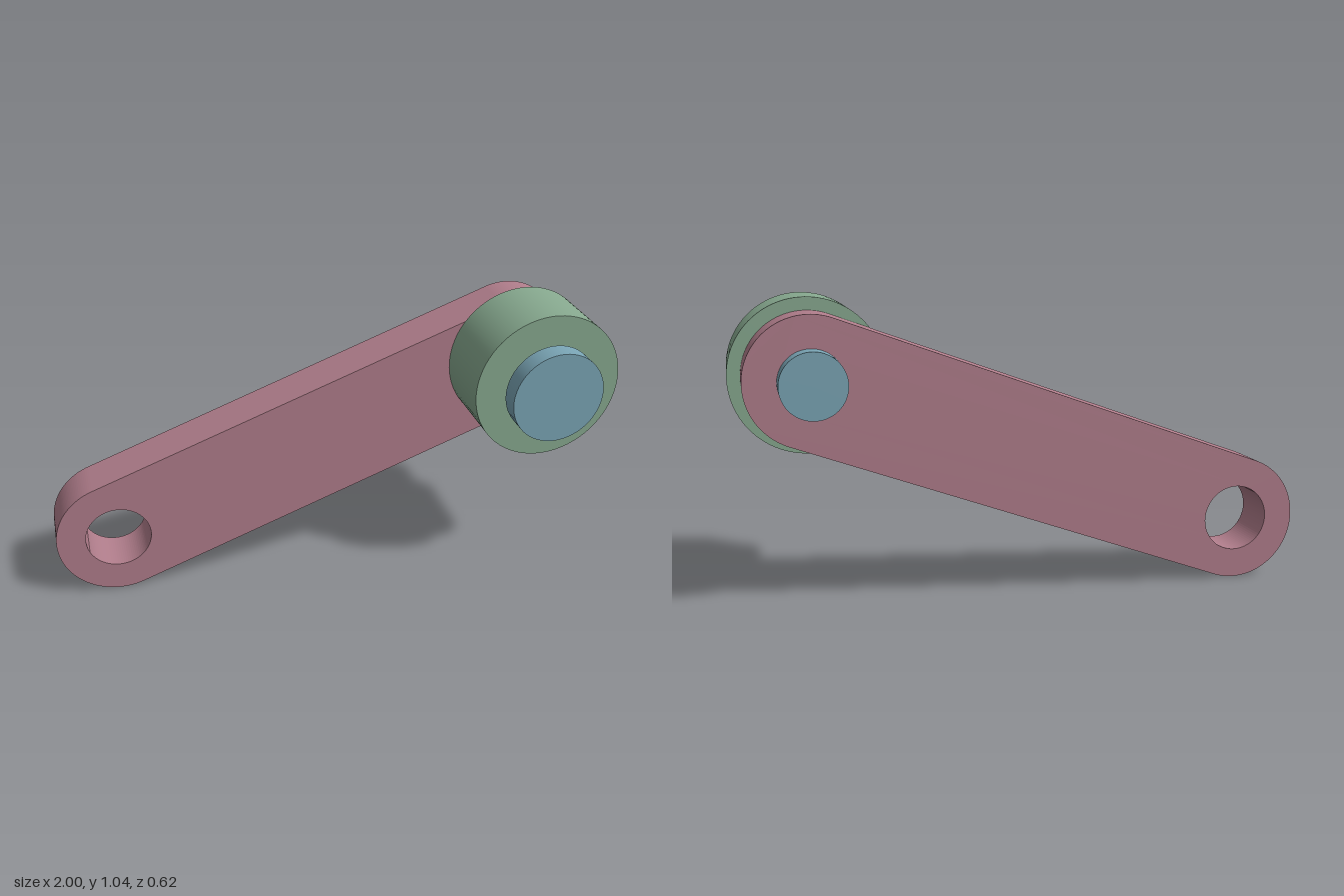
import * as THREE from 'three';

const TILT = THREE.MathUtils.degToRad(20);
const LENGTH = 1.608;   // distance between the two arm centres
const ARM_R = 0.222;
const PIN_R = 0.111;

const colored = (color) => new THREE.MeshStandardMaterial({ color });

// Extrudes a flat outline between two depths along z
function plate(name, shape, z0, z1, material) {
  const geometry = new THREE.ExtrudeGeometry(shape, { depth: z1 - z0, bevelEnabled: false, curveSegments: 48 });
  geometry.translate(0, 0, z0);
  const mesh = new THREE.Mesh(geometry, material);
  mesh.name = name;
  return mesh;
}

// Solid of revolution around the z axis from a closed [radius, z] profile
function turned(name, profile, material) {
  const group = new THREE.Group();
  group.name = name;
  // each profile segment is its own lathe, so edges stay crisp
  for (let i = 0; i < profile.length - 1; i++) {
    const points = [profile[i], profile[i + 1]].map(([r, z]) => new THREE.Vector2(r, z));
    const geometry = new THREE.LatheGeometry(points, 96).rotateX(Math.PI / 2);
    group.add(new THREE.Mesh(geometry, material));
  }
  return group;
}

export function createModel() {
  const model = new THREE.Group();
  model.name = 'rollerArm';

  // Arm: round-ended link with an open pivot hole and a bore for the pin
  const outline = new THREE.Shape();
  outline.absarc(0, 0, ARM_R, Math.PI / 2, Math.PI * 1.5, false);
  outline.absarc(LENGTH, 0, ARM_R, -Math.PI / 2, Math.PI / 2, false);
  outline.closePath();
  for (const [x, r] of [[0, 0.118], [LENGTH, PIN_R]]) {
    const hole = new THREE.Path();
    hole.absarc(x, 0, r, 0, Math.PI * 2, true);
    outline.holes.push(hole);
  }
  const arm = plate('arm', outline, -0.222, -0.045, colored(0xb07d8b));
  arm.position.set(-0.778, 0.223, 0);
  arm.rotation.z = TILT;
  model.add(arm);

  // Parts sharing the pin axis
  const axis = new THREE.Group();
  axis.name = 'pinAxis';
  axis.position.set(-0.778 + LENGTH * Math.cos(TILT), 0.223 + LENGTH * Math.sin(TILT), 0);
  model.add(axis);

  // Roller: thick ring in front of the arm
  axis.add(turned('roller', [
    [PIN_R, -0.045], [0.267, -0.045], [0.267, 0.222], [PIN_R, 0.222], [PIN_R, -0.045],
  ], colored(0x87a98f)));

  // Pin: shank through roller and arm, with a flat round head in front
  axis.add(turned('pin', [
    [0, -0.312], [PIN_R, -0.312], [PIN_R, 0.242], [0.166, 0.242], [0.166, 0.313], [0, 0.313],
  ], colored(0x7aa5b5)));

  return model;
}
